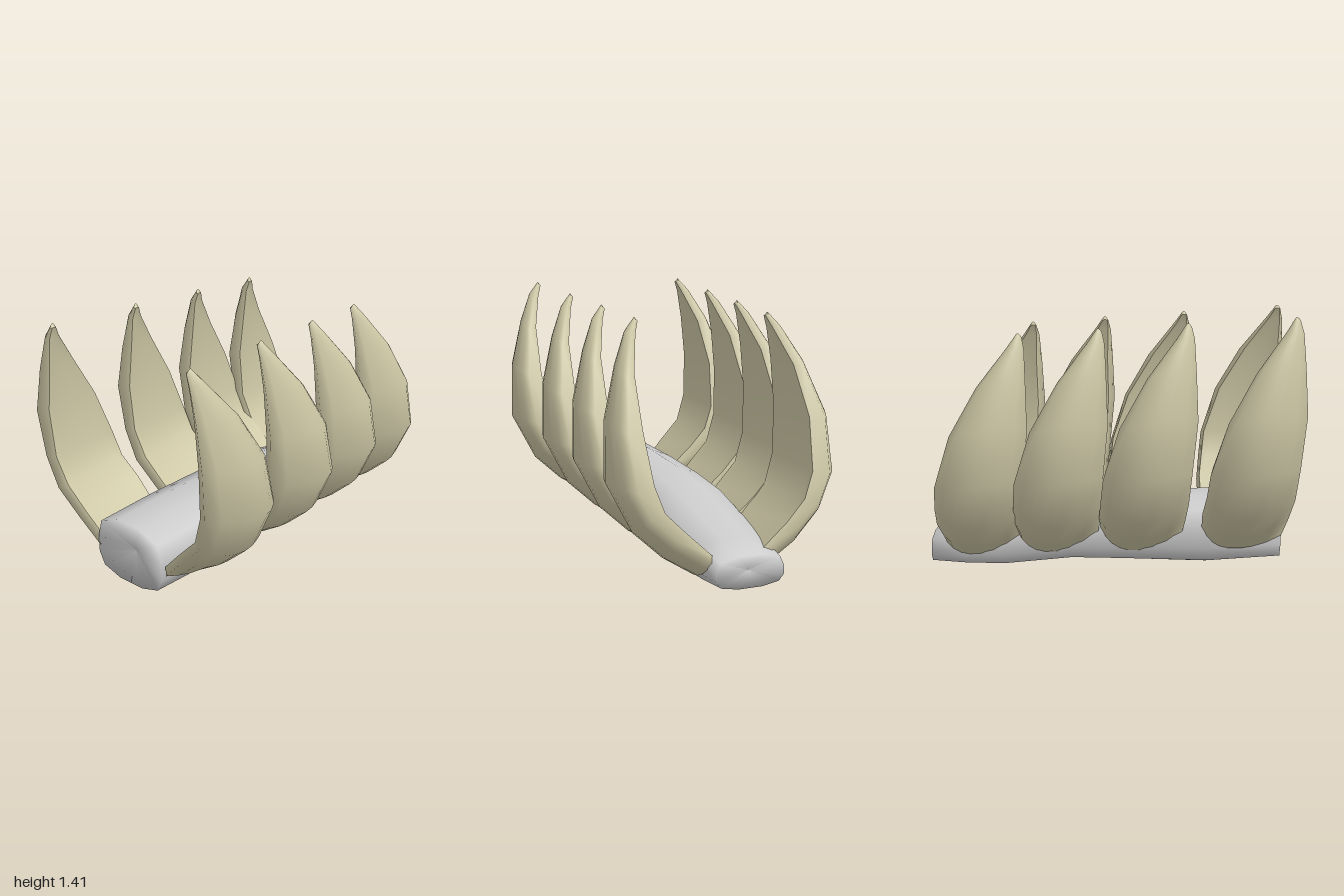
import * as THREE from 'three';
import { mergeGeometries } from 'three/addons/utils/BufferGeometryUtils.js';

// Smooth surface through rows of Vector3; flip reverses the facing
function grid(rows, flip) {
  const n = rows[0].length, index = [];
  for (let i = 0; i < rows.length - 1; i++) {
    for (let j = 0; j < n - 1; j++) {
      const a = i * n + j, b = a + n, c = a + 1, d = b + 1;
      if (flip) index.push(a, c, b, b, c, d);
      else index.push(a, b, c, b, d, c);
    }
  }
  const geo = new THREE.BufferGeometry().setFromPoints(rows.flat());
  geo.setIndex(index);
  geo.computeVertexNormals();
  return geo;
}

// Points of a parabola that passes through a, m (halfway) and b
function arc(a, m, b, segments) {
  const ctrl = m.clone().multiplyScalar(2).addScaledVector(a, -0.5).addScaledVector(b, -0.5);
  return new THREE.QuadraticBezierCurve3(a, ctrl, b).getPoints(segments);
}

// Rib stations from root to tip:
// inner rear edge, outer rear edge, outer ridge, outer forward edge, inner forward edge
const ribStations = [
  [[-0.90, 0.25, 0.22], [-0.92, 0.21, 0.24], [-0.64, 0.15, 0.27], [-0.49, 0.25, 0.235], [-0.51, 0.27, 0.215]],
  [[-0.92, 0.38, 0.34], [-0.945, 0.345, 0.365], [-0.66, 0.25, 0.43], [-0.485, 0.38, 0.42], [-0.50, 0.41, 0.365]],
  [[-0.93, 0.50, 0.455], [-0.96, 0.48, 0.50], [-0.69, 0.385, 0.575], [-0.50, 0.50, 0.55], [-0.515, 0.515, 0.47]],
  [[-0.95, 0.66, 0.51], [-0.975, 0.66, 0.56], [-0.73, 0.64, 0.70], [-0.515, 0.63, 0.61], [-0.53, 0.65, 0.52]],
  [[-0.965, 0.93, 0.52], [-1.0, 0.93, 0.575], [-0.78, 0.935, 0.68], [-0.60, 0.90, 0.625], [-0.62, 0.91, 0.545]],
  [[-0.96, 1.17, 0.495], [-0.99, 1.17, 0.535], [-0.86, 1.19, 0.60], [-0.74, 1.15, 0.575], [-0.77, 1.16, 0.53]],
  [[-0.965, 1.34, 0.47], [-0.98, 1.34, 0.49], [-0.925, 1.35, 0.525], [-0.885, 1.34, 0.50], [-0.90, 1.34, 0.475]],
  [[-0.96, 1.40, 0.45], [-0.965, 1.40, 0.46], [-0.945, 1.42, 0.465], [-0.93, 1.40, 0.46], [-0.935, 1.40, 0.45]],
];

// Thick blade-like rib: bulging outside, slightly hollow inside, closed at root and tip
function ribGeometry(side) {
  const outer = [], inner = [];
  for (const station of ribStations) {
    const [ia, a, o, b, ib] = station.map(([x, y, z]) => new THREE.Vector3(x, y, z * side));
    const hollow = ia.clone().lerp(ib, 0.5).lerp(o, 0.06);
    outer.push([ia, ...arc(a, o, b, 8), ib]);
    inner.push(arc(ia, hollow, ib, 10));
  }
  const front = side > 0, last = outer.length - 1;
  return mergeGeometries([
    grid(outer, front),
    grid(inner, !front),
    grid([inner[0], outer[0]], front),
    grid([inner[last], outer[last]], !front),
  ]);
}

// Body sections: x, bottom, top, half width, z centre
const bodySections = [
  [-0.92, 0.06, 0.415, 0.23, -0.02],
  [-0.52, 0.03, 0.41, 0.24, -0.025],
  [-0.1, 0.04, 0.39, 0.24, -0.025],
  [0.22, 0.045, 0.36, 0.235, -0.025],
  [0.6, 0.005, 0.28, 0.215, -0.028],
  [0.82, 0.01, 0.235, 0.2, -0.032],
  [1.0, 0.025, 0.19, 0.185, -0.035],
];

// Faceted tube with softly shaded, dished ends
function bodyGeometry() {
  const half = [[0.35, -1], [0.85, -0.8], [1, -0.4], [1, 0.15], [0.88, 0.72], [0.35, 1]];
  const mirrored = half.map(([z, y]) => [-z, y]).reverse();
  const profile = [[0, -1], ...half, ...mirrored, [0, -1]];
  const rings = bodySections.map(([x, lo, hi, w, cz]) => profile.map(([z, y]) =>
    new THREE.Vector3(x, (lo + hi) / 2 + y * (hi - lo) / 2, cz + z * w)));
  const centreRow = ([x, lo, hi, , cz], dx) =>
    profile.map(() => new THREE.Vector3(x + dx, (lo + hi) / 2, cz));
  return grid([
    centreRow(bodySections[0], 0.05),
    ...rings,
    centreRow(bodySections[bodySections.length - 1], -0.03),
  ], false);
}

export function createModel() {
  const model = new THREE.Group();
  model.name = 'ribCage';

  const body = new THREE.Mesh(bodyGeometry(), new THREE.MeshStandardMaterial({ color: 0xcccccc }));
  body.name = 'spineBody';
  model.add(body);

  // Four pairs of ribs stepping forward, down and inward
  const boneMaterial = new THREE.MeshStandardMaterial({ color: 0xccc6a4 });
  const steps = [[0, 0, 0], [0.548, -0.035, 0.035], [1.01, -0.065, 0.065], [1.43, -0.095, 0.092]];
  for (const side of [1, -1]) {
    const geometry = ribGeometry(side);
    steps.forEach(([dx, dy, inward], i) => {
      const rib = new THREE.Mesh(geometry, boneMaterial);
      rib.name = (side > 0 ? 'frontRib' : 'backRib') + (i + 1);
      rib.position.set(dx, dy, -side * inward);
      model.add(rib);
    });
  }
  return model;
}
